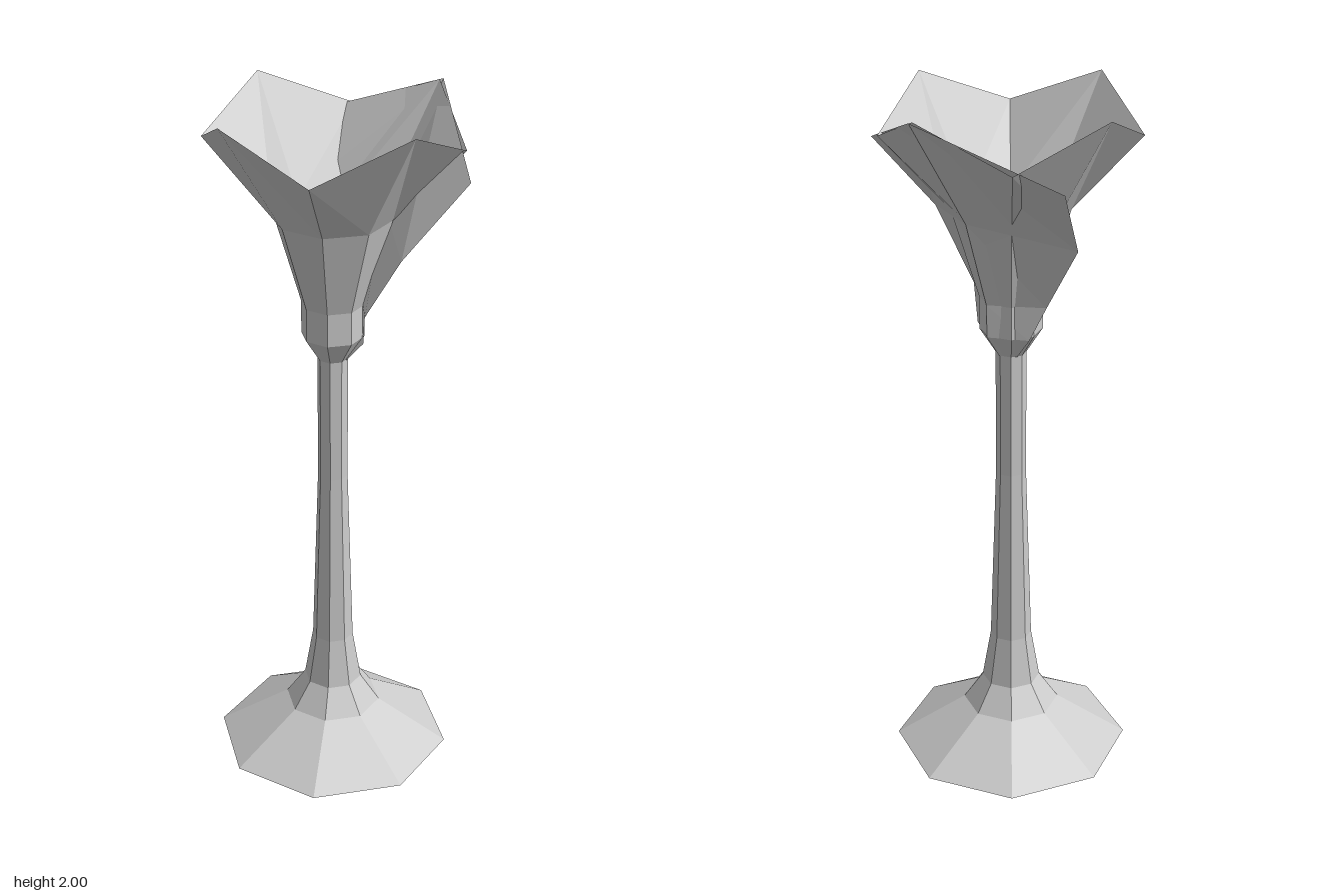
import * as THREE from 'three';

const SIDES = 8;
const CENTRE_Z = 0.006;

const material = new THREE.MeshStandardMaterial({
  color: 0xcccccc, flatShading: true, side: THREE.DoubleSide,
});

// Octagonal open shell from [radius, height] pairs
function shell(name, profile) {
  const points = profile.map(([r, y]) => new THREE.Vector2(r, y));
  const mesh = new THREE.Mesh(new THREE.LatheGeometry(points, SIDES), material);
  mesh.name = name;
  mesh.position.z = CENTRE_Z;
  return mesh;
}

// Sheet joining rows of equal length
function sheet(name, rows) {
  const columns = rows[0].length;
  const index = [];
  for (let r = 0; r < rows.length - 1; r++) {
    for (let c = 0; c < columns - 1; c++) {
      const a = r * columns + c, b = a + columns;
      // Diagonals mirror about the centre column
      if (c < (columns - 1) / 2) index.push(a, a + 1, b, a + 1, b + 1, b);
      else index.push(a, a + 1, b + 1, a, b + 1, b);
    }
  }
  const geometry = new THREE.BufferGeometry();
  geometry.setAttribute('position', new THREE.Float32BufferAttribute(rows.flat(2), 3));
  geometry.setIndex(index);
  geometry.computeVertexNormals();
  const mesh = new THREE.Mesh(geometry, material);
  mesh.name = name;
  return mesh;
}

export function createModel() {
  const group = new THREE.Group();
  group.name = 'flowerGoblet';

  // Flared foot, open underneath
  group.add(shell('foot', [[0.345, 0], [0.141, 0.13], [0.085, 0.21], [0.06, 0.36]]));

  // Hollow tapering stem
  group.add(shell('stem', [[0.06, 0.36], [0.043, 0.9], [0.043, 1.27]]));

  // Flower cup; every second rim corner dips to make pointed petals
  const cup = shell('cup', [[0.043, 1.27], [0.088, 1.34], [0.088, 1.435], [0.163, 1.685], [0.354, 2]]);
  const position = cup.geometry.attributes.position;
  for (let i = 0; i < position.count; i++) {
    const spoke = Math.floor(i / 5);
    if (i % 5 === 4 && spoke % 2 === 1) position.setY(i, 1.89);
  }
  cup.geometry.computeVertexNormals();
  group.add(cup);

  // Wide back petal: side edge (x, y, z) and centre line (y, z), mirrored
  const petal = [
    [0.36, 1.85, -0.17, 2, -0.361],
    [0.27, 1.64, -0.02, 1.685, -0.165],
    [0.14, 1.44, 0, 1.435, -0.09],
    [0.1, 1.34, -0.025, 1.34, -0.088],
    [0.04, 1.27, -0.01, 1.27, -0.04],
  ];
  group.add(sheet('backPetal', petal.map(([x, y, z, cy, cz]) => [[-x, y, z], [0, cy, cz], [x, y, z]])));

  return group;
}
